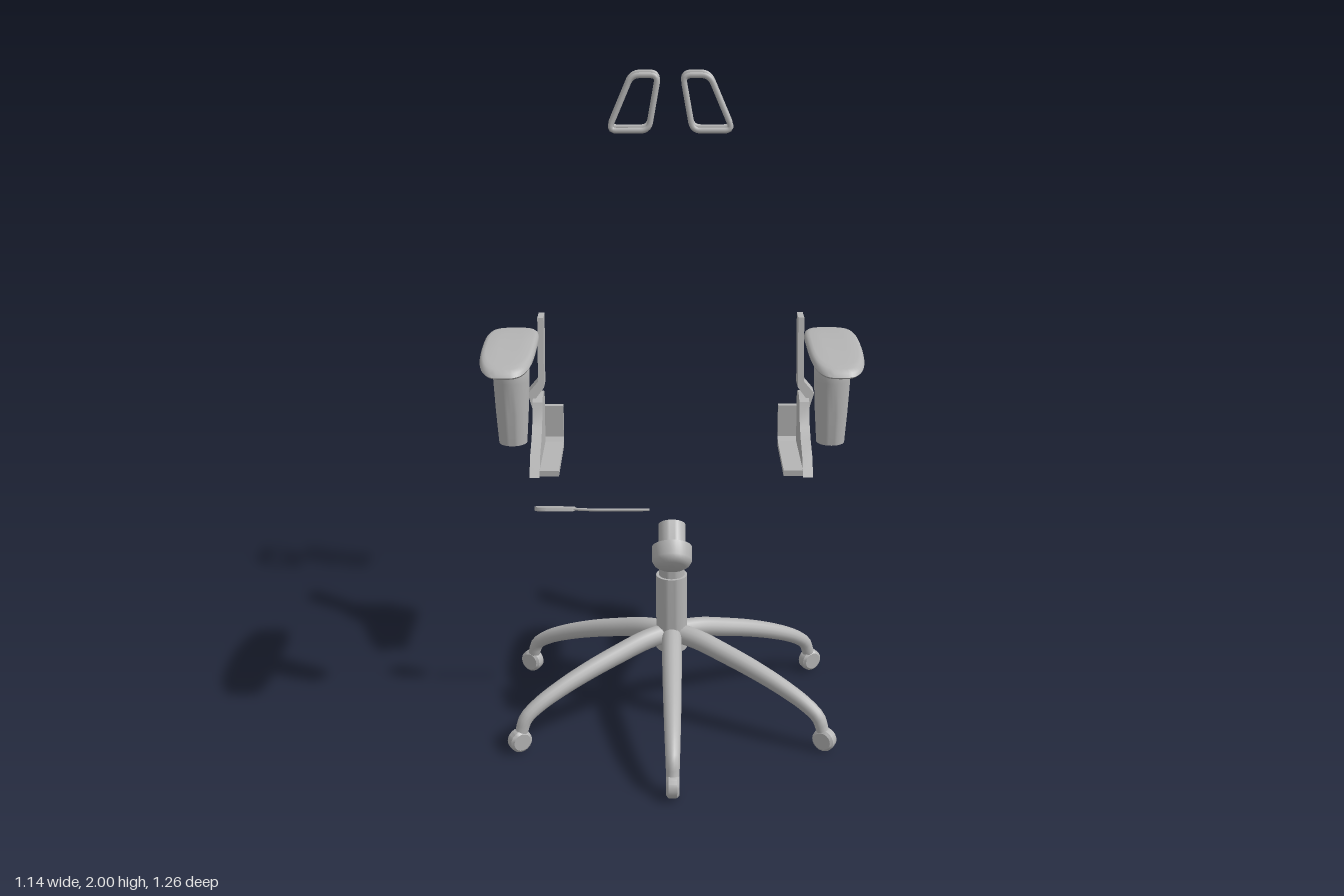
import * as THREE from 'three';
import { toCreasedNormals } from 'three/addons/utils/BufferGeometryUtils.js';

const V2 = (p) => p.map(([x, y]) => new THREE.Vector2(x, y));
const V3 = (p) => p.map((q) => new THREE.Vector3(...q));

export function createModel() {
  const model = new THREE.Group();
  const grey = new THREE.MeshStandardMaterial({ color: 0xb4b4b4 });
  const greyOpen = grey;
  grey.side = THREE.DoubleSide;
  grey.name = 'plainGrey';

  const add = (name, geo, parent = model, pos = [0, 0, 0]) => {
    const mesh = new THREE.Mesh(geo, greyOpen);
    mesh.name = name;
    mesh.position.set(...pos);
    parent.add(mesh);
    return mesh;
  };
  const crease = (geo, angle = 0.6) => toCreasedNormals(geo, angle);
  const lathe = (pts, seg = 32) => crease(new THREE.LatheGeometry(V2(pts), seg));

  // Tube whose radius changes along its length
  const taperedTube = (curve, steps, sides, radius) => {
    const geo = new THREE.TubeGeometry(curve, steps, 1, sides);
    const pos = geo.attributes.position, v = new THREE.Vector3();
    for (let i = 0; i <= steps; i++) {
      const c = curve.getPointAt(i / steps);
      for (let j = 0; j <= sides; j++) {
        const k = i * (sides + 1) + j;
        v.fromBufferAttribute(pos, k).sub(c).multiplyScalar(radius(i / steps)).add(c);
        pos.setXYZ(k, v.x, v.y, v.z);
      }
    }
    return geo;
  };

  // Sheet cut from a side profile of [-z, y] points, spanning x0 to x1
  const sideSheet = (pts, x0, x1) => {
    const a = Math.min(x0, x1), depth = Math.abs(x1 - x0);
    const geo = new THREE.ExtrudeGeometry(new THREE.Shape(V2(pts)), { depth, bevelEnabled: false });
    return crease(geo.rotateY(Math.PI / 2).translate(a, 0, 0));
  };

  // Star base with six arched legs
  const base = new THREE.Group();
  base.name = 'starBase';
  base.position.z = 0.04;
  model.add(base);
  add('gasColumn', lathe([[0, 0.225], [0.05, 0.225], [0.05, 0.48], [0.041, 0.48], [0.041, 0.525],
    [0.028, 0.525], [0.028, 0.49], [0, 0.49]]), base);
  add('columnDisc', new THREE.CircleGeometry(0.025, 24).rotateX(-Math.PI / 2), base, [0, 0.605, 0]);
  const legPath = new THREE.CatmullRomCurve3(V3([[0, 0.28, 0], [0, 0.27, 0.1], [0, 0.245, 0.2],
    [0, 0.216, 0.3], [0, 0.18, 0.4], [0, 0.14, 0.485], [0, 0.105, 0.53], [0, 0.065, 0.545]]));
  const legGeo = taperedTube(legPath, 32, 14, (t) => 0.032 - 0.012 * t * t);
  const wheelGeo = lathe([[0, -0.02], [0.028, -0.02], [0.036, -0.013], [0.037, 0],
    [0.036, 0.013], [0.028, 0.02], [0, 0.02]], 20).rotateZ(Math.PI / 2);
  for (let i = 0; i < 6; i++) {
    const leg = new THREE.Group();
    leg.name = 'legWithCaster';
    leg.rotation.y = (i * Math.PI) / 3;
    base.add(leg);
    add('leg', legGeo, leg);
    add('casterWheel', wheelGeo, leg, [0, 0.037, 0.552]);
  }

  // Tension knob, pointing down and forward
  const knob = add('tensionKnob', lathe([[0, -0.067], [0.041, -0.067], [0.055, -0.058], [0.062, -0.045],
    [0.062, 0], [0.042, 0], [0.042, 0.075], [0, 0.075]]), model, [0, 0.64, 0.196]);
  knob.rotation.x = -Math.PI / 4;

  // Height lever with a flat paddle
  const wire = new THREE.CatmullRomCurve3(V3([[-0.07, 0.705, 0.047], [-0.16, 0.705, 0.047],
    [-0.25, 0.703, 0.042], [-0.32, 0.7, 0.026]]));
  add('leverRod', new THREE.TubeGeometry(wire, 20, 0.005, 8));
  const paddleShape = new THREE.Shape();
  paddleShape.moveTo(0, -0.014);
  paddleShape.lineTo(-0.08, -0.029);
  paddleShape.bezierCurveTo(-0.14, -0.034, -0.14, 0.034, -0.08, 0.029);
  paddleShape.lineTo(0, 0.014);
  const paddle = add('leverPaddle', crease(new THREE.ExtrudeGeometry(paddleShape,
    { depth: 0.008, bevelThickness: 0.003, bevelSize: 0.003, bevelSegments: 2 })
    .rotateX(Math.PI / 2).rotateY(-0.24)), model, [-0.313, 0.704, 0.027]);
  paddle.rotation.x = -0.3;

  // Armrest pad: rounded disc stretched to a long outline, then bowed
  const padGeo = new THREE.LatheGeometry(V2([[0, 0], [0.4, 0], [0.8, 0], [0.93, 0.008], [1, 0.02],
    [0.97, 0.03], [0.9, 0.036], [0.8, 0.038], [0.4, 0.038], [0, 0.038]]), 56);
  const p = padGeo.attributes.position;
  const squarish = (c) => Math.sign(c) * Math.abs(c) ** 0.625;
  for (let i = 0; i < p.count; i++) {
    const rho = Math.hypot(p.getX(i), p.getZ(i)) || 1e-6;
    const z = 0.252 * rho * squarish(p.getZ(i) / rho);
    p.setXYZ(i, 0.082 * rho * squarish(p.getX(i) / rho), p.getY(i) - 0.35 * z * z, z);
  }
  const armPad = crease(padGeo, 0.8);
  const armPost = lathe([[0.03, 1.0], [0.032, 0.96], [0.043, 0.96], [0.05, 1.06], [0.055, 1.16],
    [0.056, 1.205], [0.05, 1.218], [0, 1.218]]);

  // Side bracket profiles
  const plate = [[0.135, 0.745], [0.44, 0.745], [0.457, 0.755], [0.465, 0.775], [0.458, 0.92], [0.445, 0.943],
    [0.42, 0.953], [0.37, 0.95], [0.345, 0.935], [0.325, 0.89], [0.3, 0.86], [0.255, 0.83], [0.19, 0.803]];
  const lip = [[0.147, 0.745], [0.44, 0.745], [0.457, 0.755], [0.466, 0.775], [0.466, 0.89], [0.446, 0.89],
    [0.446, 0.78], [0.435, 0.765], [0.147, 0.765]];
  const strut = [[0.445, 1.21], [0.425, 1.21], [0.425, 0.98], [0.452, 0.945], [0.437, 0.88],
    [0.455, 0.88], [0.48, 0.96], [0.445, 1.0]];

  for (const s of [-1, 1]) {
    const side = new THREE.Group();
    side.name = s > 0 ? 'leftSide' : 'rightSide';
    model.add(side);
    add('armPad', armPad, side, [s * 0.489, 1.24, 0.11]);
    add('armPost', armPost, side, [s * 0.487, 0, 0.12]);
    add('bracketPlate', sideSheet(plate, s * 0.463, s * 0.43), side);
    add('bracketLip', sideSheet(lip, s * 0.43, s * 0.367), side);
    // Back strut leans rearward as it rises
    const bar = new THREE.ExtrudeGeometry(new THREE.Shape(V2(strut.map(([x, y]) => [s * x, y]))),
      { depth: 0.068, bevelEnabled: false });
    const b = bar.attributes.position;
    for (let i = 0; i < b.count; i++) b.setZ(i, b.getZ(i) - 0.42 - 0.19 * (b.getY(i) - 0.9));
    add('backStrut', crease(bar, 0.3), side);

    // Paired trapezoid trim rings at the top, front and rear
    const corners = V2([[0.205, 1.812], [0.072, 1.812], [0.04, 1.99], [0.128, 1.99]]);
    for (const [name, z0] of [['frontTrimRing', -0.535], ['rearTrimRing', -0.609]]) {
      const path = new THREE.CurvePath();
      const at = (q) => new THREE.Vector3(s * q.x, q.y, z0 - 0.09 * (q.y - 1.81));
      const toward = (a, c) => a.clone().add(c.clone().sub(a).setLength(0.028));
      corners.forEach((c, i) => {
        const prev = corners[(i + 3) % 4], next = corners[(i + 1) % 4];
        path.add(new THREE.QuadraticBezierCurve3(at(toward(c, prev)), at(c), at(toward(c, next))));
        path.add(new THREE.LineCurve3(at(toward(c, next)), at(toward(next, c))));
      });
      const ring = new THREE.CatmullRomCurve3(path.getSpacedPoints(64).slice(0, -1), true);
      add(name, new THREE.TubeGeometry(ring, 72, 0.0095, 8, true), side);
    }
  }
  return model;
}
